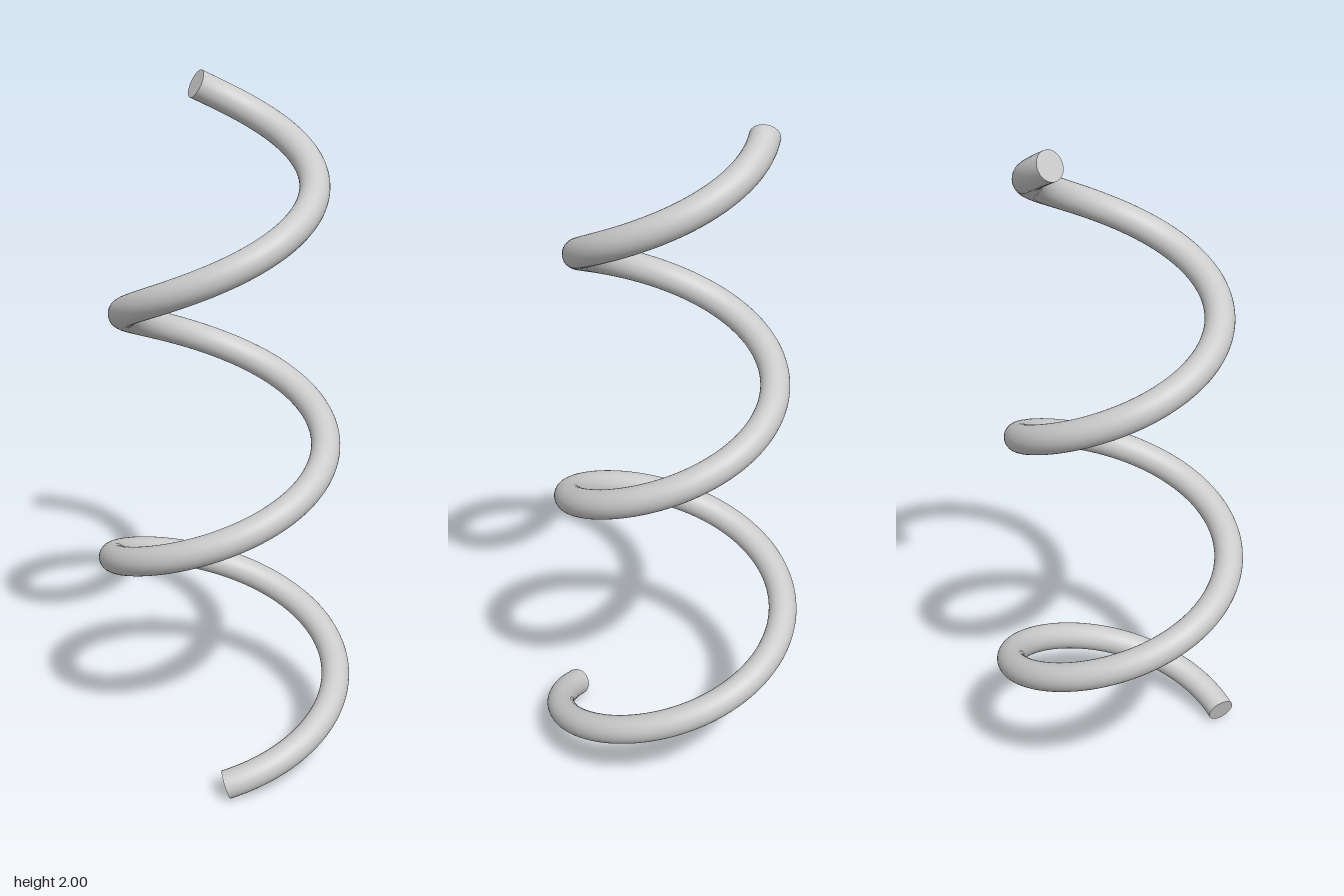
import * as THREE from 'three';

const WIRE = 0.042;
const START = -0.054, END = 5 * Math.PI + 0.214; // angles measured from +z towards +x

// Rising spiral whose radius shrinks evenly towards the top
class TaperedHelix extends THREE.Curve {
  getPoint(t, target = new THREE.Vector3()) {
    const a = THREE.MathUtils.lerp(START, END, t);
    const r = THREE.MathUtils.lerp(0.359, 0.24, t);
    const y = THREE.MathUtils.lerp(0.04, 1.962, t);
    return target.set(r * Math.sin(a) - 0.0115, y, r * Math.cos(a) - 0.0125);
  }
}

export function createModel() {
  const group = new THREE.Group();
  group.name = 'coilSpring';
  const material = new THREE.MeshStandardMaterial({ color: 0xcccccc });
  const path = new TaperedHelix();
  path.arcLengthDivisions = 1000;

  // Coiled wire
  const coil = new THREE.Mesh(new THREE.TubeGeometry(path, 320, WIRE, 32, false), material);
  coil.name = 'coil';
  group.add(coil);

  // Flat cut ends, facing outward along the wire
  const addCap = (name, t, sign) => {
    const cap = new THREE.Mesh(new THREE.CircleGeometry(WIRE, 32), material);
    cap.name = name;
    cap.position.copy(path.getPoint(t));
    const outward = path.getTangent(t).multiplyScalar(sign);
    cap.quaternion.setFromUnitVectors(new THREE.Vector3(0, 0, 1), outward);
    group.add(cap);
  };
  addCap('bottomEnd', 0, -1);
  addCap('topEnd', 1, 1);

  return group;
}
